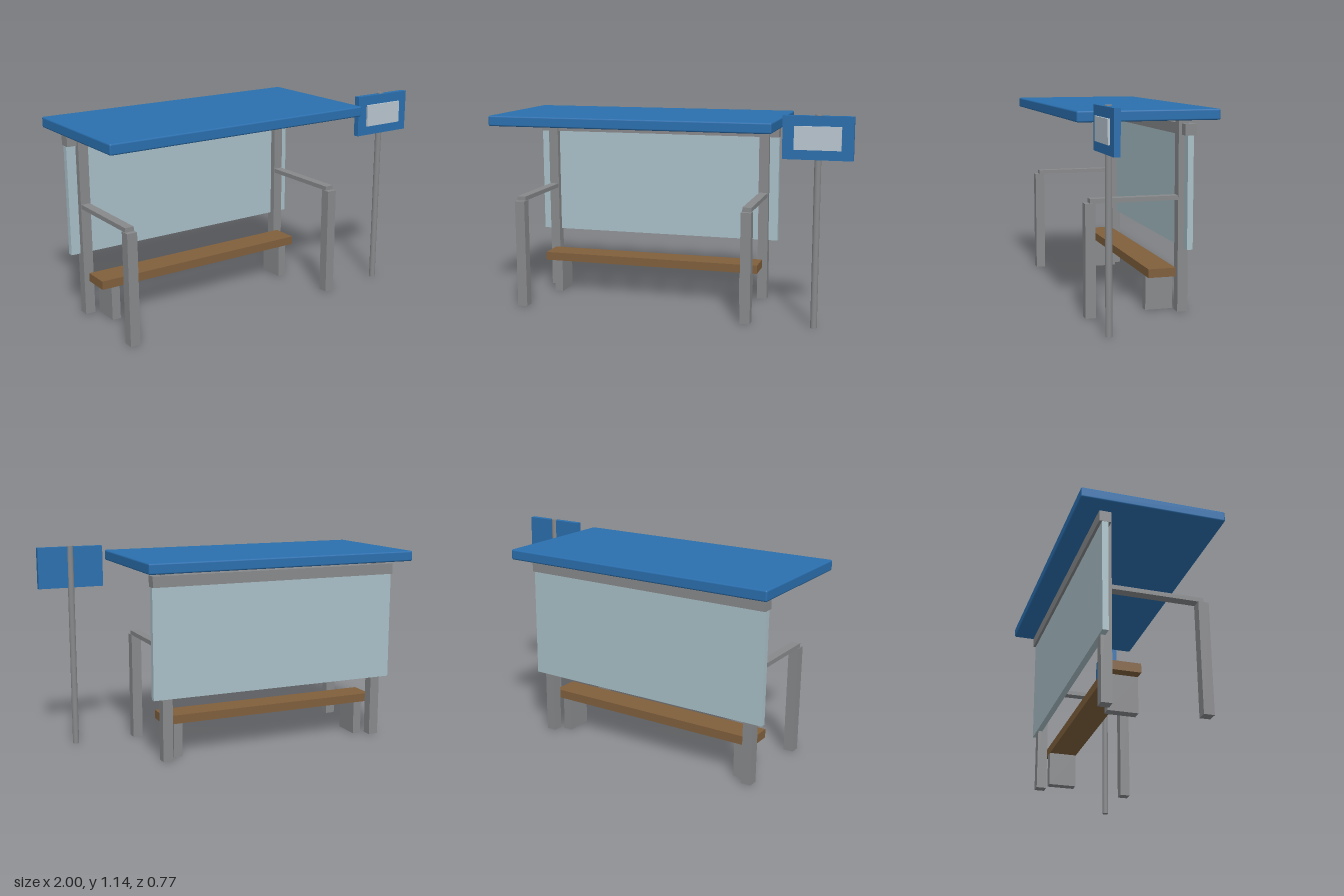
import * as THREE from 'three';
import { RoundedBoxGeometry } from 'three/addons/geometries/RoundedBoxGeometry.js';

const paint = (color) => new THREE.MeshStandardMaterial({ color });

export function createModel() {
  const model = new THREE.Group();
  model.name = 'busShelter';

  const blue = paint(0x2a6fae);
  const steel = paint(0x88898b);
  const glass = paint(0xa9c0c8);
  const wood = paint(0x805f3c);
  const pale = paint(0xb8c6d0);

  const add = (parent, name, geometry, material, x, y, z) => {
    const mesh = new THREE.Mesh(geometry, material);
    mesh.name = name;
    mesh.position.set(x, y, z);
    parent.add(mesh);
    return mesh;
  };
  // Box given by its centre in x and its limits in y and z
  const box = (parent, name, material, x, width, y0, y1, z0, z1) =>
    add(parent, name, new THREE.BoxGeometry(width, y1 - y0, z1 - z0), material,
      x, (y0 + y1) / 2, (z0 + z1) / 2);

  // Shelter, symmetric about its own centre line
  const shelter = new THREE.Group();
  shelter.name = 'shelter';
  shelter.position.x = -0.207;
  model.add(shelter);

  add(shelter, 'roof', new RoundedBoxGeometry(1.587, 0.058, 0.772, 2, 0.009), blue, 0, 1.072, 0);
  box(shelter, 'rearBeam', steel, 0, 1.47, 0.96, 1.02, -0.275, -0.212);
  box(shelter, 'rearPanel', glass, 0, 1.468, 0.35, 0.962, -0.26, -0.228);

  // Posts and side rails
  for (const [side, s] of [['right', -1], ['left', 1]]) {
    const x = s * 0.652;
    box(shelter, side + 'RearPost', steel, x, 0.057, 0, 1.045, -0.252, -0.195);
    box(shelter, side + 'FrontPost', steel, x, 0.057, 0, 0.613, 0.26, 0.316);
    box(shelter, side + 'Rail', steel, x, 0.05, 0.613, 0.637, -0.22, 0.289);
    box(shelter, side + 'BenchSupport', steel, s * 0.572, 0.05, 0, 0.19, -0.195, -0.04);
  }
  box(shelter, 'benchSeat', wood, 0, 1.3, 0.19, 0.238, -0.195, -0.04);

  // Free-standing stop sign on a pole
  const sign = new THREE.Group();
  sign.name = 'stopSign';
  sign.position.x = 0.815;
  model.add(sign);
  add(sign, 'signPole', new THREE.CylinderGeometry(0.018, 0.018, 1.142, 12), steel, 0, 0.571, 0.285);
  box(sign, 'signBoard', blue, 0, 0.368, 0.908, 1.136, 0.278, 0.311);
  box(sign, 'signPanel', pale, 0, 0.245, 0.96, 1.083, 0.31, 0.323);

  return model;
}
